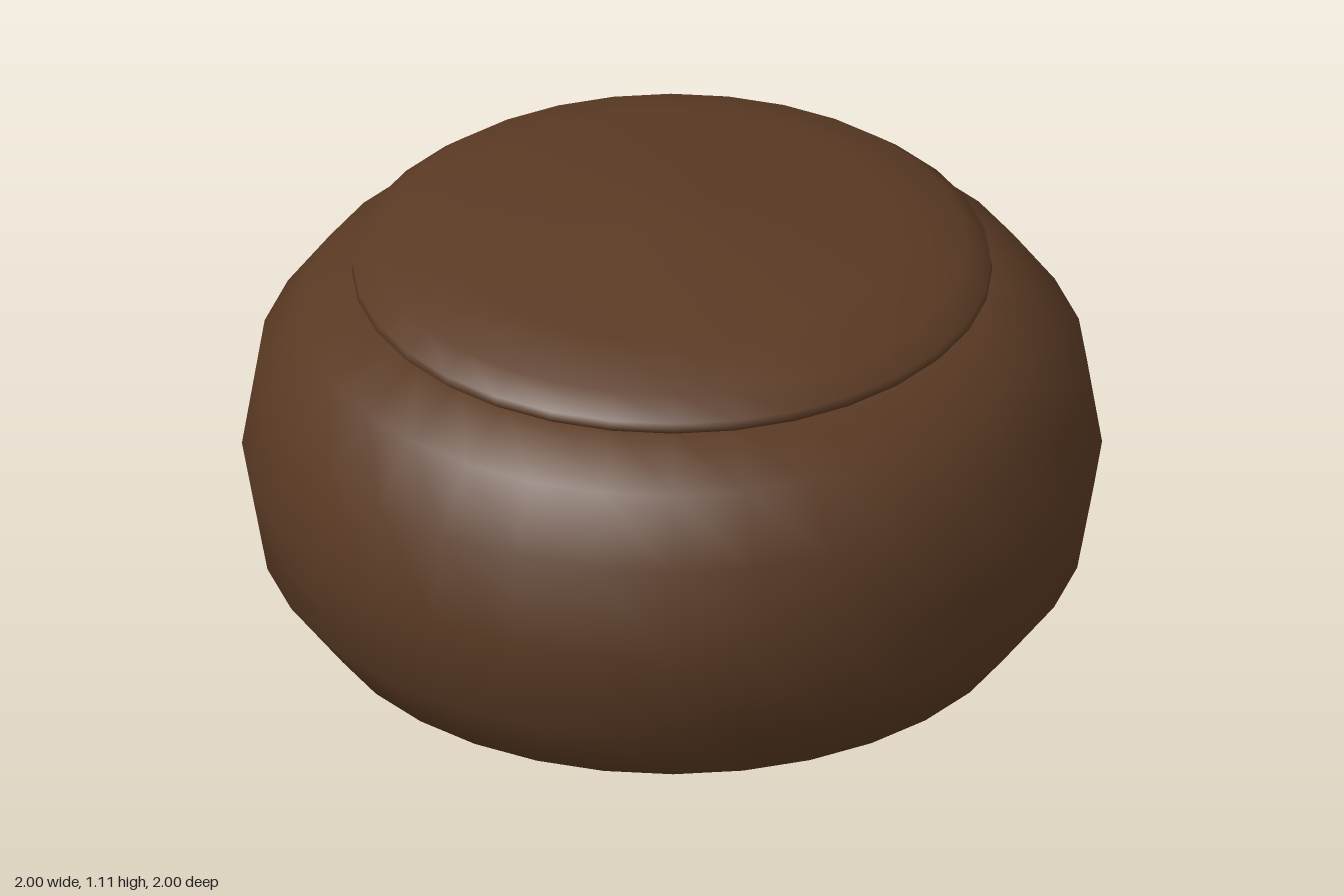
import * as THREE from 'three';

export function createModel() {
  const group = new THREE.Group();
  group.name = 'liddedPot';
  const darkWood = new THREE.MeshStandardMaterial({ color: 0x5a3a24 });
  darkWood.name = 'dark brown';

  // Turn a profile of [radius, height] pairs, listed from bottom to top
  const turned = (name, profile) => {
    const points = profile.map(([r, y]) => new THREE.Vector2(r, y));
    const mesh = new THREE.Mesh(new THREE.LatheGeometry(points, 32), darkWood);
    mesh.name = name;
    mesh.rotation.y = 0.02;
    group.add(mesh);
  };

  // Rounded bowl with a flat base, closed beneath the lid
  turned('bowl', [
    [0, 0], [0.64, 0], [0.83, 0.085], [0.96, 0.26], [1, 0.49],
    [0.965, 0.71], [0.86, 0.855], [0.71, 0.945], [0, 0.945],
  ]);

  // Shallow domed lid with a thin overhanging lip
  turned('lid', [
    [0, 0.935], [0.71, 0.935], [0.735, 0.95], [0.745, 0.96], [0.742, 0.98],
    [0.685, 1.025], [0.53, 1.075], [0.11, 1.112], [0, 1.112],
  ]);

  return group;
}
